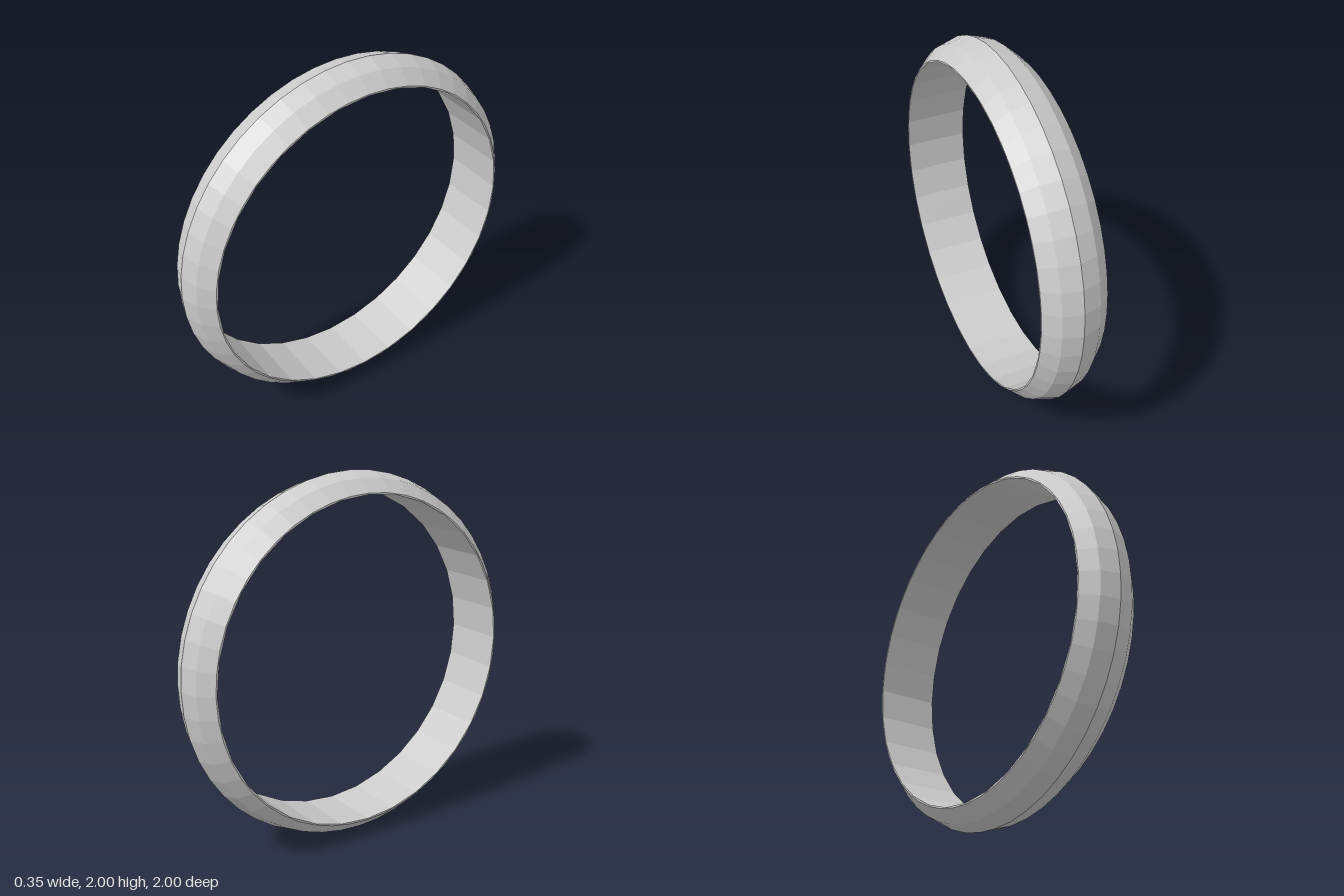
import * as THREE from 'three';

const HALF_WIDTH = 0.175;
const RIM = 0.902;
const BORE = 0.895;
const OUTER_SIDES = 48;
const BORE_SIDES = 32;

const polygon = (radius, sides) => Array.from({ length: sides }, (_, i) => {
  const a = (i / sides) * Math.PI * 2;
  return new THREE.Vector2(Math.cos(a) * radius, Math.sin(a) * radius);
});

// Surface of revolution about the x axis, from [radius, x] pairs
function revolve(profile, sides) {
  const points = profile.map(([r, x]) => new THREE.Vector2(r, x));
  return new THREE.LatheGeometry(points, sides).rotateZ(-Math.PI / 2);
}

export function createModel() {
  const group = new THREE.Group();
  group.name = 'ring';
  const material = new THREE.MeshStandardMaterial({ color: 0xcccccc, flatShading: true });
  const add = (name, geometry) => {
    const mesh = new THREE.Mesh(geometry, material);
    mesh.name = name;
    mesh.position.y = 1;
    group.add(mesh);
    return mesh;
  };

  // Faceted, domed outside of the band
  add('outerBand', revolve([
    [RIM, -HALF_WIDTH], [0.97, -0.1], [1, 0], [0.97, 0.1], [RIM, HALF_WIDTH],
  ], OUTER_SIDES));

  // Straight bore, facing inward
  add('innerBore', revolve([[BORE, HALF_WIDTH], [BORE, -HALF_WIDTH]], BORE_SIDES));

  // Thin flat rims joining the band to the bore
  const rim = new THREE.Shape(polygon(RIM, OUTER_SIDES));
  rim.holes.push(new THREE.Path(polygon(BORE, BORE_SIDES)));
  for (const [name, side] of [['leftRim', 1], ['rightRim', -1]]) {
    add(name, new THREE.ShapeGeometry(rim).rotateY(side * Math.PI / 2)).position.x = side * HALF_WIDTH;
  }
  return group;
}
